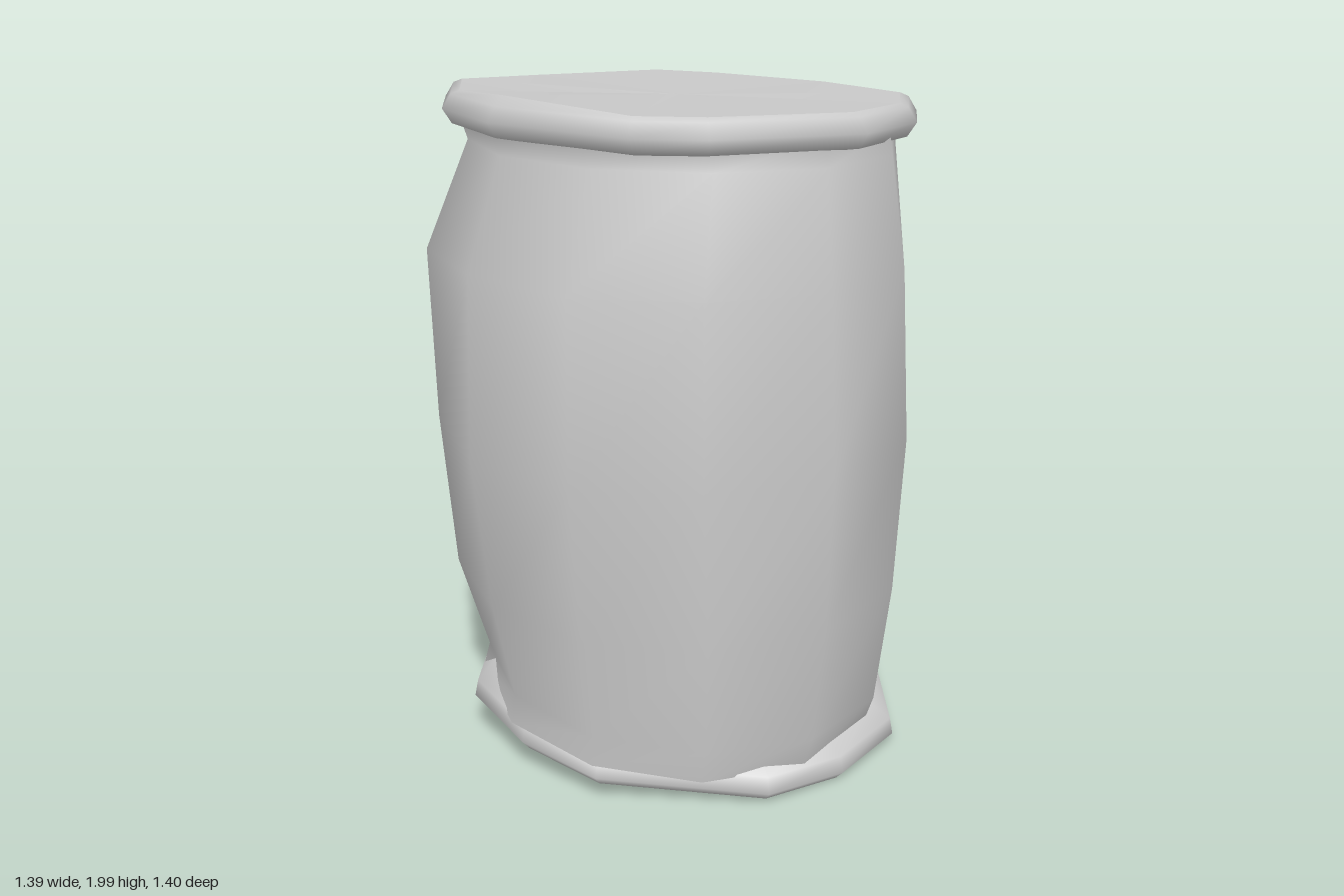
import * as THREE from 'three';

const SIDES = 12;
const material = new THREE.MeshStandardMaterial({ color: 0xcccccc, side: THREE.DoubleSide });

// Skin a stack of closed rings (listed bottom to top) with smooth normals.
function loft(name, rings) {
  const pos = [], idx = [];
  rings.forEach(ring => ring.forEach(p => pos.push(p.x, p.y, p.z)));
  for (let i = 0; i < rings.length - 1; i++) {
    for (let j = 0; j < SIDES; j++) {
      const k = (j + 1) % SIDES;
      const a = i * SIDES + j, b = i * SIDES + k;
      const d = a + SIDES, c = b + SIDES;
      idx.push(a, d, b, b, d, c);
    }
  }
  const geo = new THREE.BufferGeometry();
  geo.setAttribute('position', new THREE.Float32BufferAttribute(pos, 3));
  geo.setIndex(idx);
  geo.computeVertexNormals();
  const mesh = new THREE.Mesh(geo, material);
  mesh.name = name;
  return mesh;
}

// Lopsided ring: separate reach to -x, +x, -z and +z, tilted in x and z.
function ring({ y, reach: [left, right, back, front], tiltX = 0, tiltZ = 0 }) {
  return Array.from({ length: SIDES }, (_, j) => {
    const a = (j / SIDES) * Math.PI * 2 + 0.12;
    const c = Math.cos(a), s = Math.sin(a);
    const x = c * (c > 0 ? right : left), z = s * (s > 0 ? front : back);
    return new THREE.Vector3(x, y + tiltX * x + tiltZ * z, z);
  });
}

// Push points in behind a vertical plane facing direction (nx, nz).
function press(points, nx, nz, limit) {
  const len = Math.hypot(nx, nz);
  points.forEach(p => {
    const over = (p.x * nx + p.z * nz) / len - limit;
    if (over > 0) {
      p.x -= (over * nx) / len;
      p.z -= (over * nz) / len;
    }
  });
}

// Rolled rim: a bent band with small uneven kinks.
function rimRings(profile, { cx, cz, rx, rz, y, tiltX, tiltZ, phase }) {
  return profile.map(([inset, dy]) => Array.from({ length: SIDES }, (_, j) => {
    const a = ((j + 0.25 * Math.sin(j * 2.1 + phase)) / SIDES) * Math.PI * 2;
    const kink = 0.012 * Math.sin(j * 2.7 + phase);
    const x = cx + (rx - inset + kink) * Math.cos(a);
    const z = cz + (rz - inset + kink) * Math.sin(a);
    return new THREE.Vector3(x, y + dy + tiltX * x + tiltZ * z + kink * 0.6, z);
  }));
}

// Ring shrunk to its middle and sunk a little, used to close a lid.
function centre(points, sink) {
  const mid = new THREE.Vector3(0, sink, 0);
  points.forEach(p => mid.addScaledVector(p, 1 / SIDES));
  return points.map(() => mid.clone());
}

export function createModel() {
  const group = new THREE.Group();
  group.name = 'dentedBarrel';

  // Body with crumpled shoulders
  const body = [
    ring({ y: 0.13, reach: [0.6, 0.61, 0.63, 0.6], tiltX: -0.08 }),
    ring({ y: 0.23, reach: [0.57, 0.64, 0.63, 0.61], tiltX: -0.08 }),
    ring({ y: 0.55, reach: [0.66, 0.68, 0.6, 0.65] }),
    ring({ y: 1.02, reach: [0.69, 0.7, 0.68, 0.71] }),
    ring({ y: 1.5, reach: [0.705, 0.67, 0.6, 0.69], tiltZ: 0.05 }),
    ring({ y: 1.81, reach: [0.58, 0.62, 0.63, 0.55], tiltZ: 0.04 }),
    ring({ y: 1.87, reach: [0.6, 0.61, 0.64, 0.58], tiltZ: 0.08 }),
  ];
  // Dents: ring, facing x, facing z, distance from the middle
  [
    [2, 1, -1, 0.58], [2, -1, 1, 0.64],
    [3, 1, -1, 0.47], [3, -1, -1, 0.63], [3, 0, -1, 0.39], [3, 1, 2, 0.665],
    [4, 1, -1, 0.58], [4, -1, 1, 0.67], [4, 1, 2, 0.66],
  ].forEach(([i, nx, nz, limit]) => press(body[i], nx, nz, limit));
  group.add(loft('body', body));

  // Bottom rim, tilted down to the left, with one corner of its lip bent up
  const bottom = rimRings(
    [[0.06, -0.045], [0.025, -0.05], [0, -0.02], [0.01, 0.03], [0.07, 0.06]],
    { cx: 0.015, cz: -0.045, rx: 0.67, rz: 0.645, y: 0.116, tiltX: -0.09, tiltZ: -0.01, phase: 1 });
  bottom[4][5].y += 0.04;
  group.add(loft('bottomRim', bottom));
  group.add(loft('bottomLid', [centre(bottom[0], 0.008), bottom[0]]));

  // Top rim, tilted down to the back, with one corner bent up at the front
  const top = rimRings(
    [[0.08, -0.055], [0.025, -0.045], [0, -0.005], [0.025, 0.035], [0.05, 0.045]],
    { cx: 0, cz: -0.03, rx: 0.665, rz: 0.67, y: 1.892, tiltX: -0.005, tiltZ: 0.075, phase: 4 });
  top[4][4].y = 2;
  group.add(loft('topRim', top));
  group.add(loft('topLid', [top[4], centre(top[4], -0.01)]));

  return group;
}
